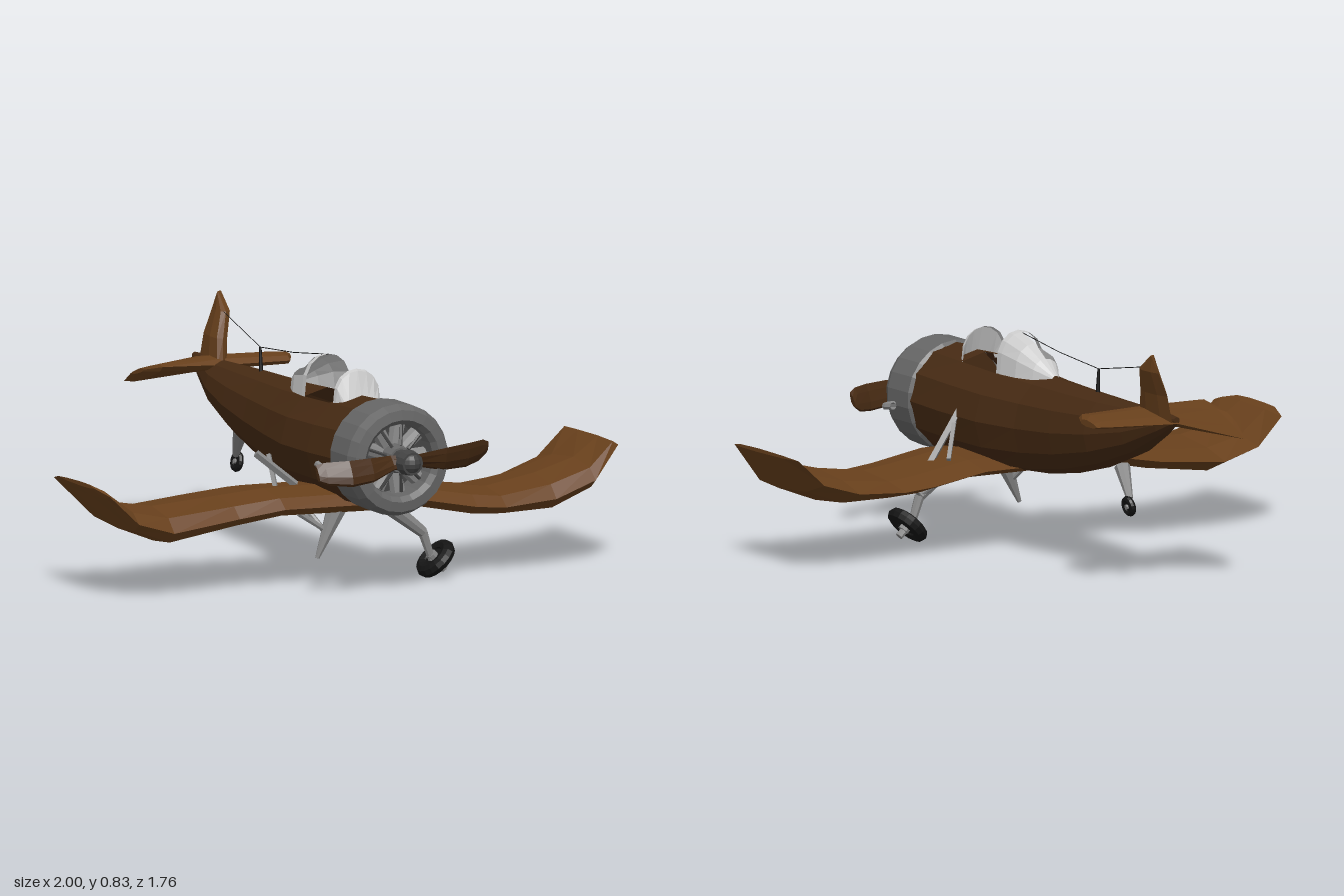
import * as THREE from 'three';

const V = (x, y, z) => new THREE.Vector3(x, y, z);
const mat = (color) => new THREE.MeshStandardMaterial({ color, flatShading: true, side: THREE.DoubleSide });

// Surface through rows of points; closed rows become capped, outward-facing bodies
function loft(rows, { closed = true, skip = () => false } = {}) {
  const n = rows[0].length, pts = rows.flat(), tris = [];
  for (let i = 0; i < rows.length - 1; i++) {
    for (let j = 0; j < (closed ? n : n - 1); j++) {
      if (skip(i, j)) continue;
      const k = (j + 1) % n, a = i * n + j, b = i * n + k;
      tris.push([a, b, b + n], [a, b + n, a + n]);
    }
  }
  if (closed) {
    const last = (rows.length - 1) * n;
    for (let j = 1; j < n - 1; j++) tris.push([0, j + 1, j], [last, last + j, last + j + 1]);
    const volume = tris.reduce((s, [a, b, c]) => s + pts[a].dot(pts[b].clone().cross(pts[c])), 0);
    if (volume < 0) tris.forEach((t) => t.reverse());
  }
  const g = new THREE.BufferGeometry().setFromPoints(pts);
  g.setIndex(tris.flat());
  g.computeVertexNormals();
  return g;
}

// Aerofoil outline: position along the chord, height from -1 to 1
const FOIL = [[0, -0.2], [0.1, 0.6], [0.38, 1], [0.75, 0.65], [1, 0.1], [0.75, -0.7], [0.35, -1], [0.08, -0.8]];
const foilLoft = (stations, place) => loft(stations.map((s) => FOIL.map(([t, h]) => place(s, t, h))));
const mix = THREE.MathUtils.lerp;

export function createModel() {
  const model = new THREE.Group();
  const brown = mat(0x462a13), wingBrown = mat(0x68401c), grey = mat(0x666666);
  const strutGrey = mat(0x888888), dark = mat(0x444444), black = mat(0x141414), pale = mat(0xcccccc);

  const add = (name, geometry, material, parent = model) => {
    const m = new THREE.Mesh(geometry, material);
    m.name = name;
    parent.add(m);
    return m;
  };
  // Tapered rod between two points
  const rod = (name, a, b, r0, r1, material, parent = model, sides = 8) => {
    const d = b.clone().sub(a);
    const m = add(name, new THREE.CylinderGeometry(r1, r0, d.length(), sides), material, parent);
    m.position.copy(a).addScaledVector(d, 0.5);
    m.quaternion.setFromUnitVectors(V(0, 1, 0), d.normalize());
    return m;
  };
  const wheel = (name, centre, axis, R, tube) => {
    const w = new THREE.Group();
    w.name = name;
    add('tyre', new THREE.TorusGeometry(R, tube, 8, 18), black, w);
    const disc = add('wheelDisc', new THREE.CylinderGeometry(R, R, tube * 0.9, 14), black, w);
    const hub = add('wheelHub', new THREE.CylinderGeometry(R * 0.35, R * 0.35, tube * 2.2, 8), strutGrey, w);
    disc.rotation.x = hub.rotation.x = Math.PI / 2;
    w.position.copy(centre);
    w.quaternion.setFromUnitVectors(V(0, 0, 1), axis.normalize());
    model.add(w);
  };

  // Fuselage: z, centre x, half width, top, bottom; open over the cockpit
  const hull = [
    [0.61, 0.02, 0.19, 0.672, 0.29], [0.42, 0.02, 0.192, 0.665, 0.285], [0.2, 0.02, 0.182, 0.655, 0.285],
    [0, 0.02, 0.15, 0.645, 0.3], [-0.2, 0.025, 0.132, 0.64, 0.333], [-0.4, 0.025, 0.113, 0.635, 0.385],
    [-0.58, 0.018, 0.08, 0.63, 0.455], [-0.74, 0.02, 0.04, 0.63, 0.545], [-0.82, 0.02, 0.012, 0.625, 0.6],
  ];
  add('fuselage', loft(hull.map(([z, cx, w, top, bot]) => Array.from({ length: 12 }, (_, j) => {
    const a = (j / 12) * Math.PI * 2;
    return V(cx + w * Math.cos(a), (top + bot) / 2 + (top - bot) / 2 * Math.sin(a), z);
  })), { skip: (i, j) => i === 1 && (j === 2 || j === 3) }), brown);

  // Cockpit interior
  add('cockpitFloor', new THREE.BoxGeometry(0.26, 0.02, 0.3), brown).position.set(0.02, 0.45, 0.31);
  add('seat', new THREE.BoxGeometry(0.11, 0.14, 0.03), brown).position.set(0.02, 0.53, 0.21);
  rod('controlStick', V(0.02, 0.45, 0.36), V(0.02, 0.56, 0.36), 0.006, 0.006, dark);

  // Wing: x, trailing z, leading z, top, bottom
  const wing = [
    [-1, 0.15, 0.42, 0.42, 0.405], [-0.975, 0.065, 0.5, 0.41, 0.375], [-0.87, 0.05, 0.515, 0.34, 0.25],
    [-0.73, 0.045, 0.51, 0.315, 0.195], [-0.47, 0.03, 0.5, 0.33, 0.235], [-0.31, 0.08, 0.535, 0.35, 0.265],
    [0, 0.1, 0.55, 0.35, 0.26], [0.22, 0.1, 0.56, 0.35, 0.26], [0.42, 0.12, 0.568, 0.315, 0.22],
    [0.53, 0.13, 0.572, 0.3, 0.215], [0.73, 0.11, 0.56, 0.33, 0.215], [0.89, 0.09, 0.545, 0.37, 0.275],
    [1, 0.085, 0.5, 0.432, 0.418],
  ];
  add('wing', foilLoft(wing, ([x, zt, zl, top, bot], t, h) =>
    V(x, (top + bot) / 2 + h * (top - bot) / 2, mix(zl, zt, t))), wingBrown);

  // Bent tailplane: x, front z, rear z, front y, rear y, half thickness
  const tail = [
    [-0.25, -0.68, -0.78, 0.605, 0.575, 0.008], [-0.225, -0.58, -0.88, 0.63, 0.53, 0.02],
    [0.02, -0.58, -0.83, 0.62, 0.6, 0.025], [0.27, -0.58, -0.78, 0.615, 0.605, 0.02],
    [0.308, -0.65, -0.76, 0.615, 0.605, 0.012],
  ];
  add('tailplane', foilLoft(tail, ([x, zf, zb, yf, yb, k], t, h) =>
    V(x, mix(yf, yb, t) + h * k, mix(zf, zb, t))), wingBrown);

  // Leaning fin: y, centre x, front z, rear z, half thickness
  const fin = [[0.6, 0.015, -0.58, -0.82, 0.028], [0.7, 0.035, -0.62, -0.82, 0.03],
    [0.785, 0.07, -0.67, -0.815, 0.026], [0.84, 0.08, -0.755, -0.785, 0.008]];
  add('fin', foilLoft(fin, ([y, x, zf, zb, k], t, h) =>
    V(x + 0.02 * t + h * k, y, mix(zf, zb, t))), wingBrown);

  // Engine cowl with its rolled front lip
  const cowl = [[0.185, 0.6], [0.197, 0.61], [0.197, 0.74], [0.18, 0.775], [0.145, 0.78], [0.128, 0.76], [0.125, 0.62]];
  const cowlMesh = add('cowl', new THREE.LatheGeometry(cowl.map((p) => new THREE.Vector2(...p)), 22), grey);
  cowlMesh.rotation.x = Math.PI / 2;
  cowlMesh.position.set(0.02, 0.482, 0);

  // Radial engine
  const engine = new THREE.Group();
  engine.name = 'engine';
  engine.position.set(0.02, 0.485, 0);
  model.add(engine);
  rod('firewall', V(0, 0, 0.61), V(0, 0, 0.65), 0.13, 0.13, dark, engine, 18);
  rod('crankcase', V(0, 0, 0.64), V(0, 0, 0.77), 0.065, 0.045, grey, engine, 12);
  for (let i = 0; i < 9; i++) {
    const a = (i / 9) * Math.PI * 2, c = Math.cos(a), s = Math.sin(a);
    rod('engineCylinder', V(c * 0.04, s * 0.04, 0.7), V(c * 0.122, s * 0.122, 0.7), 0.024, 0.028, strutGrey, engine);
    rod('pushRod', V(c * 0.05, s * 0.05, 0.75), V(c * 0.12, s * 0.12, 0.73), 0.006, 0.006, dark, engine, 5);
  }

  // Spinner and bent propeller: x, y, z, half height
  rod('propellerShaft', V(0.02, 0.485, 0.74), V(0.02, 0.485, 0.83), 0.038, 0.038, dark, model, 12);
  rod('spinner', V(0.02, 0.485, 0.82), V(0.02, 0.485, 0.86), 0.046, 0.04, dark, model, 12);
  add('spinnerTip', new THREE.SphereGeometry(0.04, 12, 8), dark).position.set(0.02, 0.485, 0.838);
  const prop = [[-0.328, 0.47, 0.815, 0.028], [-0.3, 0.468, 0.825, 0.038], [-0.22, 0.468, 0.86, 0.044],
    [-0.13, 0.472, 0.845, 0.04], [-0.03, 0.483, 0.8, 0.024], [0.07, 0.485, 0.795, 0.024],
    [0.18, 0.48, 0.79, 0.042], [0.29, 0.48, 0.75, 0.045], [0.36, 0.485, 0.71, 0.04], [0.39, 0.488, 0.695, 0.025]];
  add('propeller', foilLoft(prop, ([x, y, z, k], t, h) =>
    V(x, y + (t * 2 - 1) * k, z + h * 0.012 + (t - 0.5) * 0.03 * Math.sign(x))), brown);

  // Hooked exhaust pipes
  for (const s of [1, -1]) {
    const path = [[0.18, 0.7], [0.225, 0.695], [0.25, 0.67], [0.25, 0.62]]
      .map(([x, z]) => V(0.02 + s * x, 0.455 + (0.7 - z) * 0.15, z));
    add('exhaustPipe', new THREE.TubeGeometry(new THREE.CatmullRomCurve3(path), 8, 0.013, 7), strutGrey);
  }

  // Canopy shells: arches of z, half width, top
  const arch = (z, w, top) => Array.from({ length: 9 }, (_, j) => {
    const a = (j / 8) * Math.PI;
    return V(0.018 + w * Math.cos(a), 0.63 + (top - 0.63) * Math.sin(a) ** 0.7, z);
  });
  add('rearCanopy', loft([arch(0.21, 0.09, 0.775), arch(0.185, 0.09, 0.772), arch(0.1, 0.082, 0.745),
    arch(0.03, 0.055, 0.7), arch(-0.035, 0.015, 0.65)],
  { closed: false, skip: (i, j) => (i === 1 || i === 2) && j > 3 && j < 7 }), pale);
  add('windshield', loft([arch(0.425, 0.09, 0.755), arch(0.44, 0.087, 0.75), arch(0.47, 0.07, 0.66)],
    { closed: false }), pale);

  // Aerial mast and wire
  const mastTop = V(0.02, 0.718, -0.315);
  rod('aerialMast', V(0.02, 0.63, -0.31), mastTop, 0.008, 0.004, black, model, 6);
  [[V(0.018, 0.773, 0.21), V(0.02, 0.738, -0.06)], [V(0.02, 0.738, -0.06), mastTop], [mastTop, V(0.06, 0.785, -0.68)]]
    .forEach(([a, b]) => rod('aerialWire', a, b, 0.0015, 0.0015, black, model, 4));

  // Wing root struts
  rod('leftStrut', V(0.19, 0.49, 0.32), V(0.31, 0.315, 0.32), 0.014, 0.014, strutGrey, model, 4);
  rod('leftStrut', V(0.2, 0.47, 0.33), V(0.29, 0.34, 0.23), 0.01, 0.01, strutGrey, model, 4);
  rod('rightStrut', V(-0.165, 0.345, 0.325), V(-0.3, 0.46, 0.285), 0.014, 0.014, strutGrey, model, 4);
  rod('rightStrut', V(-0.24, 0.33, 0.32), V(-0.22, 0.44, 0.225), 0.01, 0.01, strutGrey, model, 4);

  // Landing gear: left leg with its wheel, right leg broken off
  rod('leftLeg', V(0.12, 0.27, 0.485), V(0.25, 0.17, 0.48), 0.03, 0.02, strutGrey);
  rod('leftLeg', V(0.25, 0.17, 0.48), V(0.285, 0.07, 0.48), 0.018, 0.013, strutGrey);
  rod('leftBrace', V(0.17, 0.25, 0.4), V(0.25, 0.175, 0.475), 0.009, 0.009, strutGrey);
  rod('axle', V(0.275, 0.09, 0.48), V(0.335, 0.035, 0.48), 0.014, 0.014, strutGrey);
  wheel('mainWheel', V(0.3, 0.073, 0.48), V(0.7, -0.7, 0), 0.056, 0.024);
  rod('rightLeg', V(-0.085, 0.28, 0.48), V(-0.16, 0.11, 0.48), 0.036, 0.008, strutGrey);
  rod('rightBrace', V(-0.16, 0.27, 0.4), V(-0.12, 0.19, 0.475), 0.01, 0.01, strutGrey);
  rod('rightBrace', V(-0.22, 0.27, 0.46), V(-0.12, 0.2, 0.48), 0.012, 0.008, strutGrey);

  // Tail wheel
  rod('tailLeg', V(0.025, 0.4, -0.475), V(0.045, 0.3, -0.555), 0.028, 0.012, strutGrey);
  wheel('tailWheel', V(0.055, 0.275, -0.565), V(1, -0.2, 0), 0.025, 0.012);
  return model;
}
